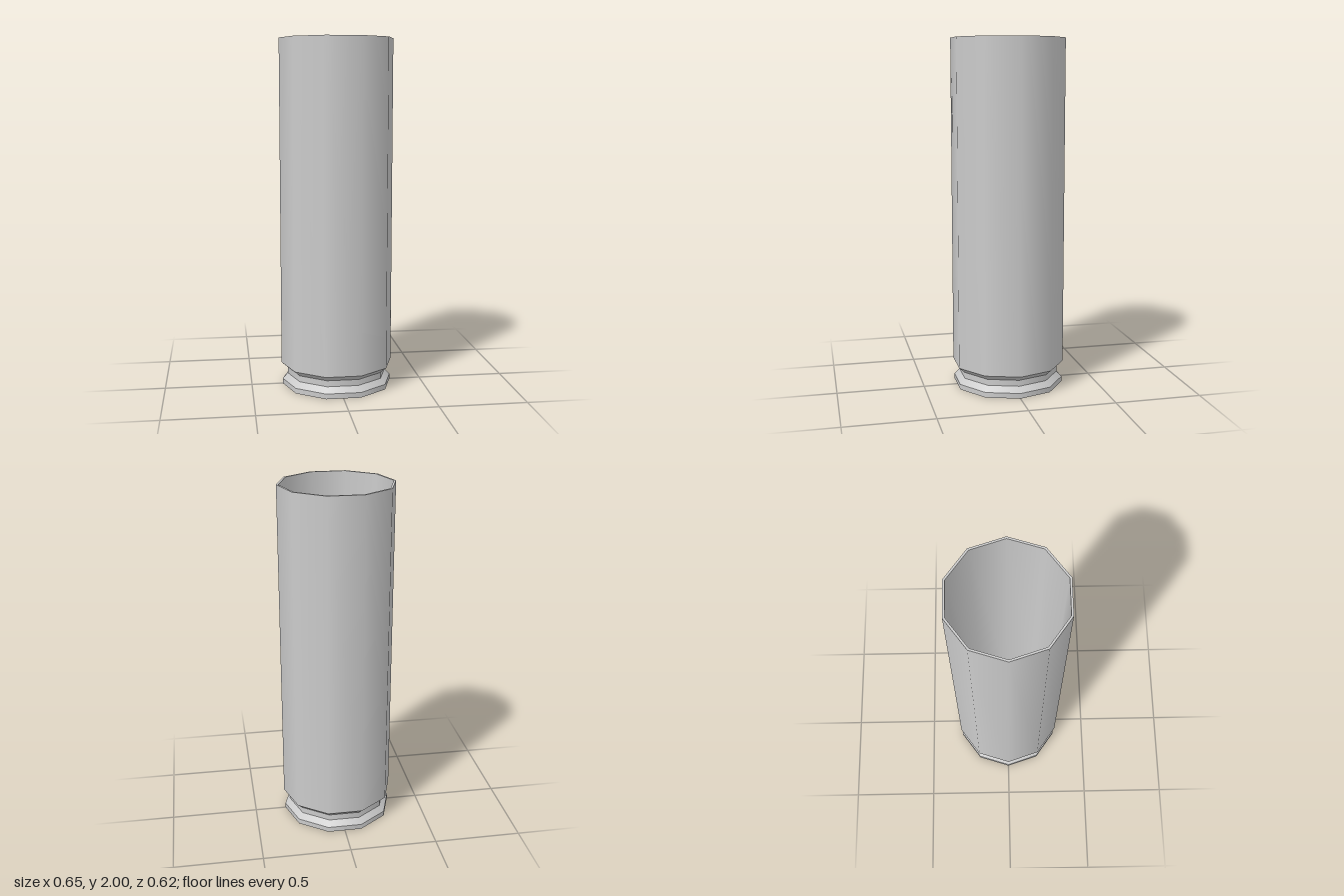
import * as THREE from 'three';
import { mergeGeometries } from 'three/addons/utils/BufferGeometryUtils.js';

const SIDES = 10;
const material = new THREE.MeshStandardMaterial({ color: 0xcccccc });

// Ten-sided turned part: smooth around the axis, sharp between profile bands.
function turned(name, profile) {
  const bands = [];
  for (let i = 0; i < profile.length - 1; i++) {
    const points = [profile[i], profile[i + 1]].map(([r, y]) => new THREE.Vector2(r, y));
    bands.push(new THREE.LatheGeometry(points, SIDES, Math.PI / 2));
  }
  const mesh = new THREE.Mesh(mergeGeometries(bands), material);
  mesh.name = name;
  return mesh;
}

export function createModel() {
  const group = new THREE.Group();
  group.name = 'hollowCase';

  // Base disc with its bevelled rim
  group.add(turned('baseRim', [[0, 0], [0.319, 0], [0.319, 0.03], [0.289, 0.062]]));

  // Recessed groove and the flare up to the body
  group.add(turned('groove', [[0.289, 0.062], [0.289, 0.097], [0.325, 0.128]]));

  // Straight outer wall and the thin lip at the mouth
  group.add(turned('outerWall', [[0.325, 0.128], [0.325, 2], [0.313, 2]]));

  // Slightly tapering inner wall and the closed floor
  group.add(turned('innerWall', [[0.313, 2], [0.294, 0.13], [0, 0.13]]));

  return group;
}
